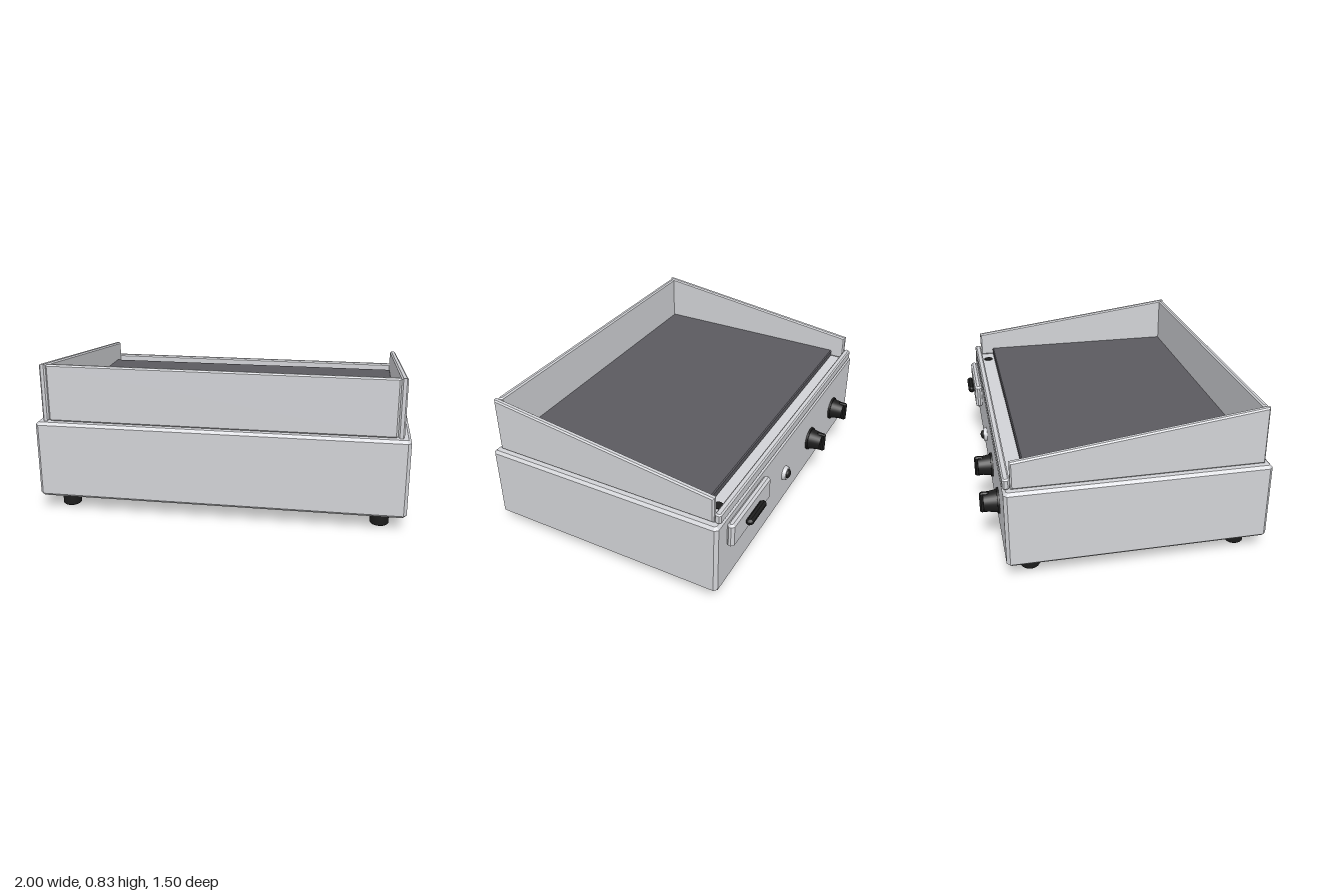
import * as THREE from 'three';

const material = (name, color, side = THREE.FrontSide) => {
  const m = new THREE.MeshStandardMaterial({ color, side });
  m.name = name;
  return m;
};

// Box between bounds with all edges chamfered by b, optionally open underneath
function chamferBox([x0, x1], [y0, y1], [z0, z1], b, open = false) {
  const w = (x1 - x0) / 2 - b, d = (z1 - z0) / 2 - b, c = b * 0.6;
  const outline = [[w, c - d], [w, d - c], [w - c, d], [c - w, d], [-w, d - c], [-w, c - d], [c - w, -d], [w - c, -d]];
  const shape = new THREE.Shape(outline.map(p => new THREE.Vector2(...p)));
  const geo = new THREE.ExtrudeGeometry(shape, {
    depth: y1 - y0 - 2 * b, bevelSize: b, bevelThickness: b, bevelSegments: 1
  });
  geo.rotateX(-Math.PI / 2).translate((x0 + x1) / 2, y0 + b, (z0 + z1) / 2);
  if (open) {
    const p = geo.attributes.position, index = [];
    for (let i = 0; i < p.count; i += 3) {
      const top = Math.max(p.getY(i), p.getY(i + 1), p.getY(i + 2));
      if (top > y0 + 1e-4) index.push(i, i + 1, i + 2);
    }
    geo.clearGroups();
    geo.setIndex(index);
  }
  return geo;
}

export function createModel() {
  const model = new THREE.Group();
  model.name = 'tabletopGriddle';
  const steel = material('brushedSteel', 0xd2d3d7, THREE.DoubleSide);
  const iron = material('griddleIron', 0x5b5a60);
  const black = material('blackPlastic', 0x1d1d1d);

  const add = (name, geo, mat, x = 0, y = 0, z = 0, parent = model) => {
    const mesh = new THREE.Mesh(geo, mat);
    mesh.name = name;
    mesh.position.set(x, y, z);
    parent.add(mesh);
    return mesh;
  };

  // Sheet-metal housing, open underneath
  add('housing', chamferBox([-1, 1], [0.087, 0.516], [-0.646, 0.747], 0.015, true), steel);

  // Cooking plate, drain in the strip behind it, and rear lip
  add('cookingPlate', chamferBox([-0.935, 0.935], [0.517, 0.56], [-0.527, 0.69], 0.006), iron);
  add('drainHole', new THREE.CylinderGeometry(0.027, 0.027, 0.006, 24), black, 0.834, 0.518, -0.567);
  add('rearLip', chamferBox([-0.963, 0.963], [0.517, 0.576], [-0.645, -0.608], 0.008), steel);

  // Splash guards: tall front wall and sloping sides
  add('frontSplashGuard', chamferBox([-0.931, 0.931], [0.517, 0.832], [0.684, 0.714], 0.008), steel);
  const b = 0.008;
  const side = new THREE.Shape([
    [-0.714 + b, 0.517 + b], [0.607 - b, 0.517 + b], [0.607 - b, 0.666 - b], [-0.714 + b, 0.833 - b]
  ].map(p => new THREE.Vector2(...p)));
  const sideGeo = new THREE.ExtrudeGeometry(side, {
    depth: 0.034 - 2 * b, bevelSize: b, bevelThickness: b, bevelSegments: 1
  }).rotateY(Math.PI / 2).translate(-0.017 + b, 0, 0);
  for (const s of [-1, 1]) add(s > 0 ? 'leftSplashGuard' : 'rightSplashGuard', sideGeo, steel, s * 0.948);

  // Feet
  const footProfile = [[0, 0], [0.046, 0], [0.051, 0.006], [0.051, 0.084], [0.046, 0.09], [0, 0.09]]
    .map(p => new THREE.Vector2(...p));
  const footGeo = new THREE.LatheGeometry(footProfile, 24);
  for (const x of [-0.865, 0.865])
    for (const z of [-0.515, 0.617]) add('foot', footGeo, black, x, 0, z);

  // Control knobs: flange, tapered body and grip bar
  for (const x of [-0.666, -0.266]) {
    const knob = new THREE.Group();
    knob.name = 'controlKnob';
    knob.position.set(x, 0.285, -0.646);
    model.add(knob);
    const flange = new THREE.CylinderGeometry(0.07, 0.07, 0.012, 32).rotateX(-Math.PI / 2);
    const body = new THREE.CylinderGeometry(0.05, 0.062, 0.075, 32).rotateX(-Math.PI / 2);
    add('knobFlange', flange, black, 0, 0, -0.006, knob);
    add('knobBody', body, black, 0, 0, -0.047, knob);
    add('knobGrip', chamferBox([-0.013, 0.013], [-0.06, 0.06], [-0.103, -0.05], 0.007), black, 0, 0, 0, knob);
  }

  // Indicator lamp
  add('lampBezel', new THREE.CylinderGeometry(0.038, 0.043, 0.022, 28).rotateX(-Math.PI / 2), steel, 0.134, 0.285, -0.657);
  const dome = new THREE.SphereGeometry(0.027, 24, 8, 0, Math.PI * 2, 0, Math.PI / 2)
    .scale(1, 0.65, 1).rotateX(-Math.PI / 2);
  add('lampDome', dome, black, 0.134, 0.285, -0.668);

  // Grease drawer and its handle
  add('drawerFront', chamferBox([0.437, 0.902], [0.334, 0.477], [-0.687, -0.645], 0.012), steel);
  add('drawerHandle', chamferBox([0.567, 0.767], [0.384, 0.422], [-0.725, -0.685], 0.012), black);

  return model;
}
